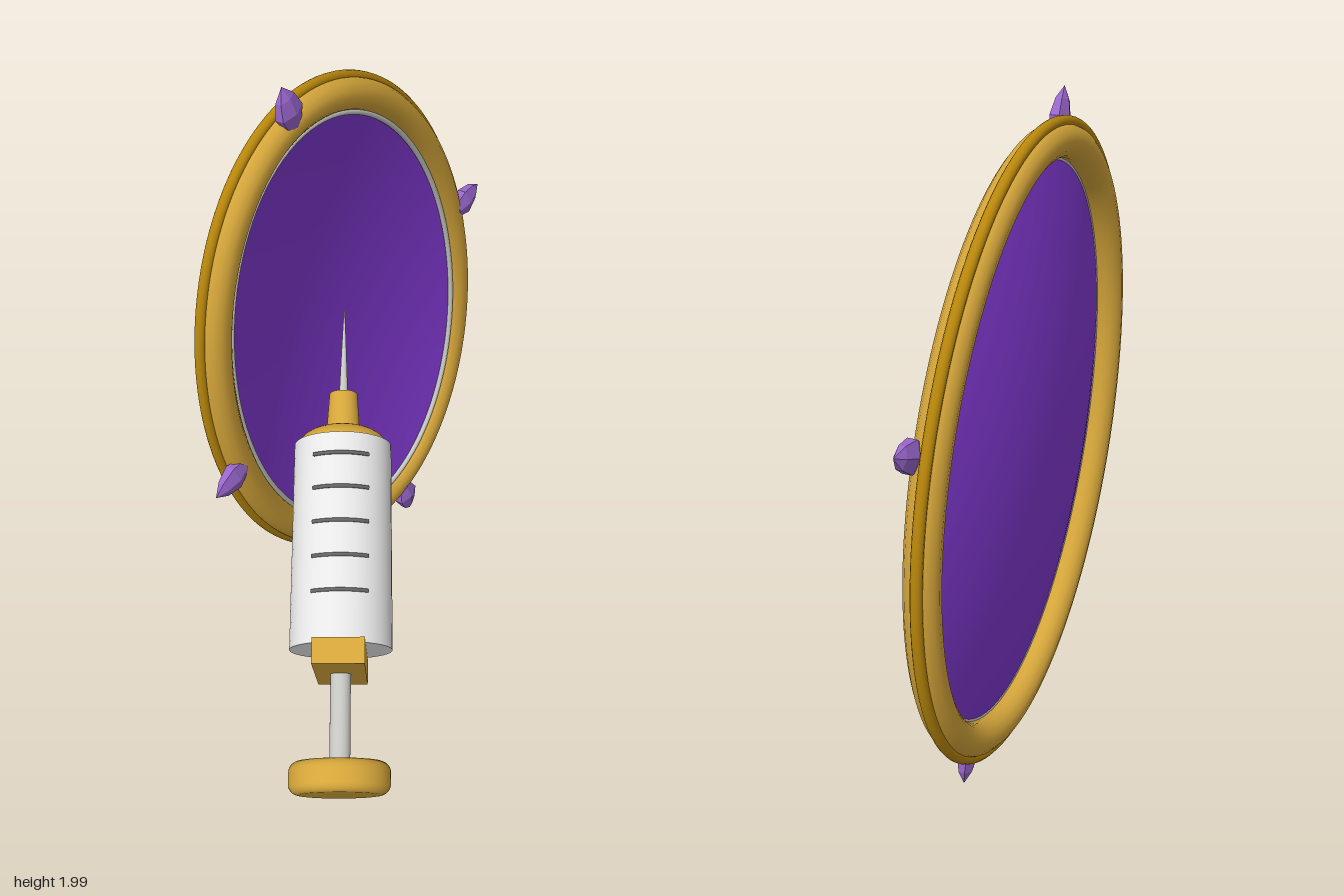
import * as THREE from 'three';

const mat = (name, color, extra = {}) => {
  const m = new THREE.MeshStandardMaterial({ color, ...extra });
  m.name = name;
  return m;
};

export function createModel() {
  const gold = mat('gold', 0xd4a53a);
  const darkGold = mat('dark gold', 0xb8860b);
  const silver = mat('silver', 0xc4c4c0);
  const white = mat('barrel white', 0xe6e6e6);
  const grey = mat('mark grey', 0x666666);
  const violet = mat('glass violet', 0x8038d0, { side: THREE.DoubleSide });
  const crystal = mat('crystal purple', 0x9966cc, { flatShading: true });

  const root = new THREE.Group();
  const add = (parent, name, geometry, material) => {
    const mesh = new THREE.Mesh(geometry, material);
    mesh.name = name;
    parent.add(mesh);
    return mesh;
  };
  const lathe = (pts, seg = 40) =>
    new THREE.LatheGeometry(pts.map(([r, y]) => new THREE.Vector2(r, y)), seg);

  // Oval mirror, leaning in its own plane
  const mirror = new THREE.Group();
  mirror.name = 'mirror';
  mirror.position.set(0.195, 1.005, -0.383);
  mirror.rotation.z = 0.305;
  root.add(mirror);

  const ovalRing = (a, b, r) => {
    const pts = [];
    for (let i = 0; i < 48; i++) {
      const t = (i / 48) * Math.PI * 2;
      pts.push(new THREE.Vector3(a * Math.cos(t), b * Math.sin(t), 0));
    }
    return new THREE.TubeGeometry(new THREE.CatmullRomCurve3(pts, true), 128, r, 14, true);
  };
  add(mirror, 'frame', ovalRing(0.613, 0.889, 0.052), gold);
  add(mirror, 'frameOuterRim', ovalRing(0.666, 0.942, 0.017), darkGold).position.z = -0.01;
  add(mirror, 'frameInnerRim', ovalRing(0.56, 0.836, 0.009), silver).position.z = 0.02;

  // Shallow glass bowl, bulging to the back
  const bowl = [];
  for (let i = 0; i <= 12; i++) {
    const r = i / 12;
    bowl.push([r, -0.082 + 0.097 * r * r]);
  }
  const glass = lathe(bowl, 80);
  glass.rotateX(Math.PI / 2);
  // the lathe's y now points to +z
  glass.scale(0.566, 0.842, 1);
  add(mirror, 'glass', glass, violet);

  // Four crystals pointing outwards from the rim
  for (let i = 0; i < 4; i++) {
    const t = (i * Math.PI) / 2;
    const gem = lathe([[0, -0.074], [0.034, -0.062], [0.054, -0.012], [0.036, 0.04], [0, 0.08]], 6);
    gem.scale(1, 1, 0.55);
    const mesh = add(mirror, 'crystal', gem, crystal);
    mesh.position.set(0.685 * Math.cos(t), 0.965 * Math.sin(t), 0.034);
    mesh.rotation.z = t - Math.PI / 2;
  }

  // Syringe: local +y runs from the plunger to the needle tip, +z is its upper side
  const syringe = new THREE.Group();
  syringe.name = 'syringe';
  const axis = new THREE.Vector3(0.671, 0.561, -0.484).normalize();
  const side = new THREE.Vector3().crossVectors(axis, new THREE.Vector3(0, 1, 0)).normalize();
  const upper = new THREE.Vector3().crossVectors(side, axis);
  syringe.quaternion.setFromRotationMatrix(new THREE.Matrix4().makeBasis(side, axis, upper));
  syringe.position.set(-0.787, 0.158, 0.31);
  root.add(syringe);

  const cylinder = (name, r0, r1, y0, y1, material) => {
    const mesh = add(syringe, name, new THREE.CylinderGeometry(r1, r0, y1 - y0, 40), material);
    mesh.position.y = (y0 + y1) / 2;
  };

  // Thumb rest with rounded rim
  const rest = [[0, -0.05]];
  for (let i = 0; i <= 12; i++) {
    const t = -Math.PI / 2 + (i / 12) * Math.PI;
    rest.push([0.124 + 0.033 * Math.cos(t), 0.033 * Math.sin(t) + 0.017 * Math.sign(Math.sin(t) + 1e-9)]);
  }
  rest.push([0, 0.05]);
  add(syringe, 'thumbRest', lathe(rest), gold);

  cylinder('plungerRod', 0.032, 0.032, 0.03, 0.4, silver);
  add(syringe, 'fingerFlange', new THREE.BoxGeometry(0.16, 0.08, 0.415), gold).position.y = 0.355;
  cylinder('barrel', 0.162, 0.158, 0.39, 1.06, white);

  // Domed shoulder and nozzle
  const shoulder = [];
  for (let i = 0; i <= 10; i++) {
    const t = (i / 10) * Math.PI / 2;
    shoulder.push([0.146 * Math.cos(t), 1.055 + 0.07 * Math.sin(t)]);
  }
  add(syringe, 'shoulder', lathe(shoulder), gold);
  cylinder('nozzle', 0.056, 0.046, 1.09, 1.24, gold);
  cylinder('needle', 0.015, 0.002, 1.22, 1.543, silver);

  // Measuring marks across the upper side of the barrel
  const arc = 1.15;
  for (let i = 0; i < 5; i++) {
    const mark = new THREE.TorusGeometry(0.16, 0.0065, 6, 20, arc);
    mark.rotateZ(Math.PI / 2 - arc / 2);
    mark.rotateX(Math.PI / 2);
    add(syringe, 'measureMark', mark, grey).position.y = 0.55 + i * 0.11;
  }
  return root;
}
